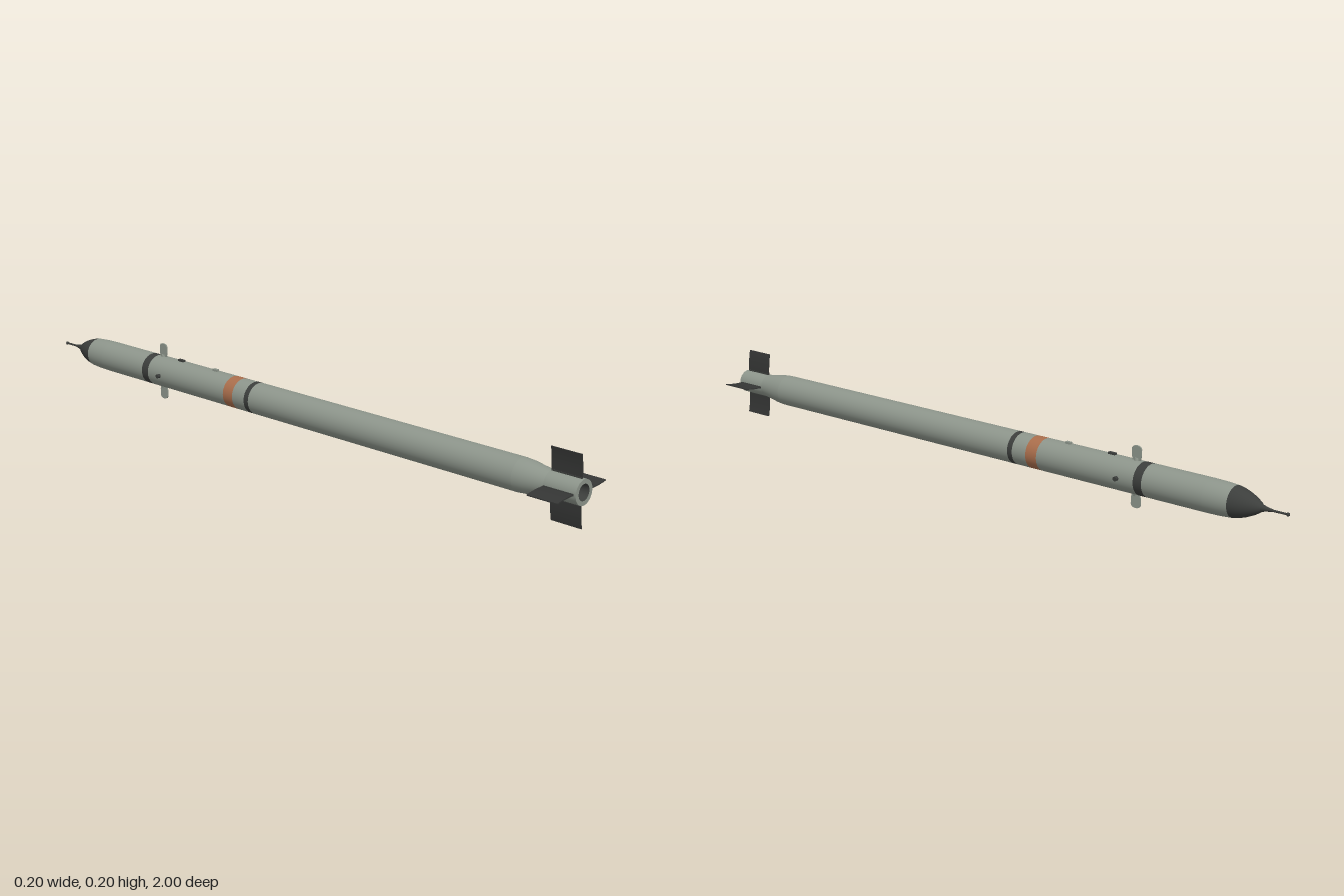
import * as THREE from 'three';

const material = (name, color) => {
  const m = new THREE.MeshStandardMaterial({ color, side: THREE.DoubleSide });
  m.name = name;
  return m;
};

export function createModel() {
  const grey = material('body grey', 0x8d958b);
  const dark = material('dark grey', 0x3c3e3c);
  const orange = material('band orange', 0xaa6e4c);
  const black = material('fin charcoal', 0x353635);

  const model = new THREE.Group();
  model.name = 'rocket';
  const R = 0.0455;
  const AXIS = 0.1;

  const add = (name, geometry, mat, parent = model) => {
    const mesh = new THREE.Mesh(geometry, mat);
    mesh.name = name;
    parent.add(mesh);
    return mesh;
  };

  // Turned part from [z, radius] pairs, listed from tail (+z) to nose (-z)
  const turned = (name, mat, profile) => {
    const points = profile.map(([z, r]) => new THREE.Vector2(r, -z));
    const g = new THREE.LatheGeometry(points, 40);
    g.rotateX(-Math.PI / 2);
    g.translate(0, AXIS, 0);
    return add(name, g, mat);
  };

  // Tail and nozzle
  turned('nozzleFloor', dark, [[0.95, 0], [0.95, 0.012]]);
  turned('nozzleBore', dark, [[0.95, 0.012], [0.998, 0.022]]);
  turned('tailRim', grey, [[0.998, 0.022], [0.998, 0.034]]);
  turned('tailTube', grey, [[0.998, 0.034], [0.9, 0.034]]);
  turned('tailFlare', grey, [[0.9, 0.034], [0.87, 0.038], [0.84, 0.043], [0.81, R]]);

  // Straight body with painted bands
  const sections = [
    ['motorTube', grey, 0.81, -0.125],
    ['jointBand', dark, -0.125, -0.142],
    ['bodyJoint', grey, -0.142, -0.19],
    ['orangeBand', orange, -0.19, -0.228],
    ['guidanceSection', grey, -0.228, -0.555],
    ['forwardBand', dark, -0.555, -0.582],
    ['forwardSection', grey, -0.582, -0.77],
  ];
  for (const [name, mat, z0, z1] of sections) turned(name, mat, [[z0, R], [z1, R]]);
  turned('shoulder', grey, [[-0.77, R], [-0.81, 0.0445], [-0.842, 0.042]]);

  // Nose and probe
  turned('noseCone', dark, [
    [-0.842, 0.042], [-0.86, 0.0385], [-0.88, 0.032], [-0.9, 0.023], [-0.915, 0.014], [-0.922, 0.008],
  ]);
  turned('probe', dark, [[-0.918, 0.01], [-0.935, 0.006], [-0.952, 0.003], [-0.99, 0.0028]]);
  const tip = add('probeTip', new THREE.SphereGeometry(0.005, 16, 12), dark);
  tip.position.set(0, AXIS, -0.995);

  // Four curved wrap-around tail fins
  const finShape = new THREE.Shape();
  const t = 0.0014;
  finShape.moveTo(0.032, -t);
  finShape.quadraticCurveTo(0.07, -t, 0.098, 0.0065 - t);
  finShape.lineTo(0.098, 0.0065 + t);
  finShape.quadraticCurveTo(0.07, t, 0.032, t);
  finShape.closePath();
  const finGeometry = new THREE.ExtrudeGeometry(finShape, { depth: 0.092, bevelEnabled: false, curveSegments: 10 });
  for (let i = 0; i < 4; i++) {
    const fin = add('tailFin', finGeometry, black);
    fin.position.set(0, AXIS, 0.9);
    fin.rotation.z = (i * Math.PI) / 2;
    // Hinge at the fin root
    const hinge = add('finHinge', new THREE.BoxGeometry(0.006, 0.006, 0.09), dark, fin);
    hinge.position.set(0.034, 0, 0.046);
  }

  // Upper and lower control vanes with rounded tips
  const vane = new THREE.Shape();
  vane.moveTo(-0.011, 0.04);
  vane.lineTo(0.011, 0.04);
  vane.lineTo(0.015, 0.058);
  vane.lineTo(0.015, 0.076);
  vane.quadraticCurveTo(0.013, 0.085, 0, 0.085);
  vane.quadraticCurveTo(-0.013, 0.085, -0.015, 0.076);
  vane.lineTo(-0.015, 0.058);
  vane.closePath();
  const vaneGeometry = new THREE.ExtrudeGeometry(vane, { depth: 0.004, bevelEnabled: false });
  vaneGeometry.translate(0, 0, -0.002);
  vaneGeometry.rotateY(Math.PI / 2);
  for (const s of [0, 1]) {
    const mount = new THREE.Group();
    mount.name = 'controlVane';
    mount.position.set(0, AXIS, -0.533);
    mount.rotation.z = s * Math.PI;
    model.add(mount);
    add('vaneBlade', vaneGeometry, grey, mount);
    const root = add('vaneRoot', new THREE.CylinderGeometry(0.006, 0.008, 0.01, 16), grey, mount);
    root.position.y = 0.047;
  }

  // Side studs
  for (const s of [-1, 1]) {
    const stud = add('sideStud', new THREE.CylinderGeometry(0.006, 0.006, 0.014, 16), dark);
    stud.rotation.z = Math.PI / 2;
    stud.position.set(s * 0.048, AXIS, -0.503);
  }

  // Small lugs along the top
  const rearLug = add('rearLug', new THREE.BoxGeometry(0.01, 0.01, 0.018), grey);
  rearLug.position.set(0, AXIS + 0.046, -0.305);
  const frontLug = add('frontLug', new THREE.BoxGeometry(0.009, 0.01, 0.022), dark);
  frontLug.position.set(0, AXIS + 0.046, -0.453);

  return model;
}
